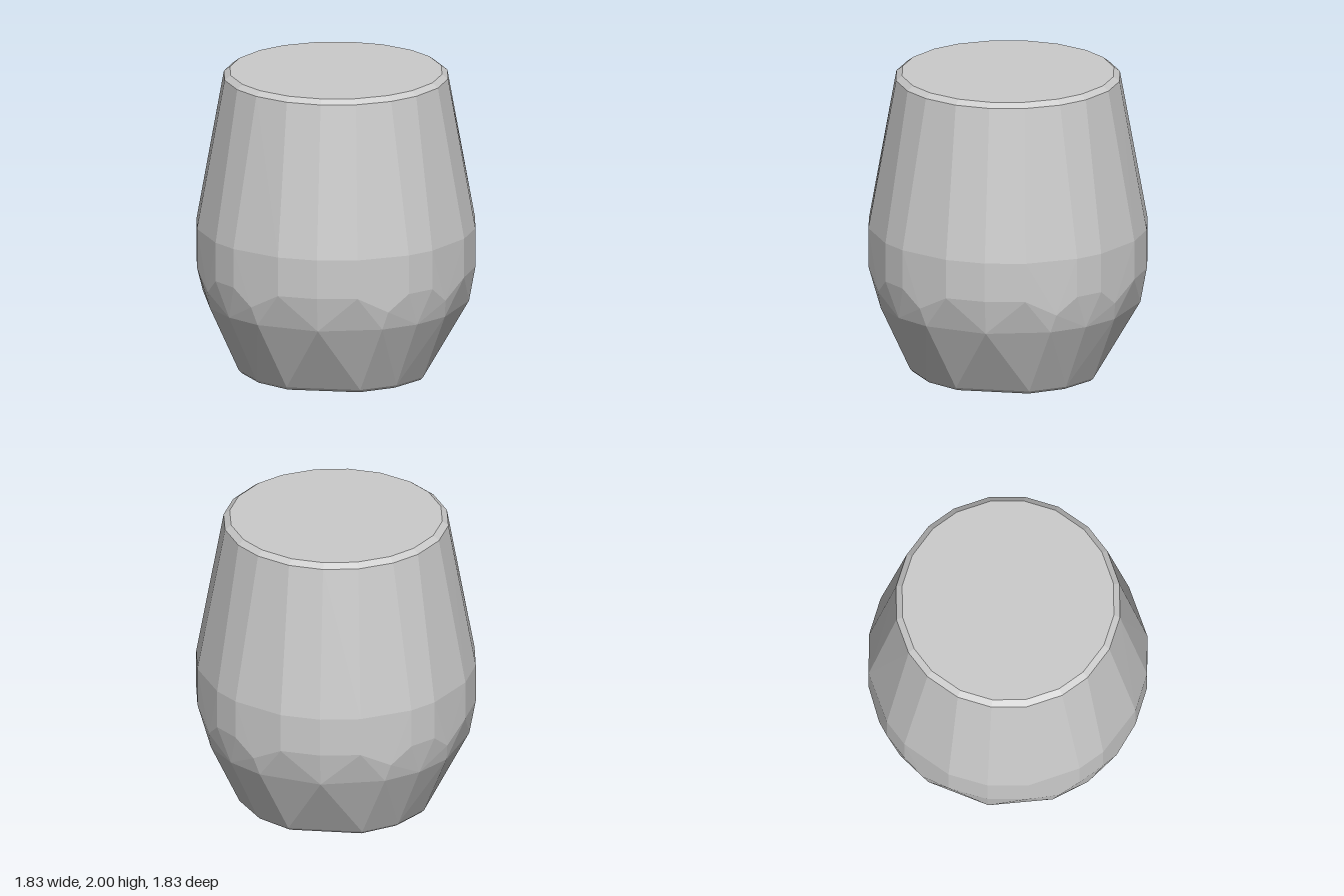
import * as THREE from 'three';
import { ConvexGeometry } from 'three/addons/geometries/ConvexGeometry.js';

// Angles (degrees) inside one quadrant, repeated four times around the body.
const SIXTEEN = [0, 18, 37, 53, 72].filter((a) => a !== 45);
const BELLY = [0, 16.6, 39, 51, 73.4];
const FOOT = [21.8, 45, 68.2];

// Rings from the rim down to the foot: height, radius, quadrant angles.
const RINGS = [
  { y: 2.0, r: 0.695, angles: SIXTEEN },
  { y: 1.97, r: 0.735, angles: SIXTEEN },
  { y: 0.97, r: 0.914, angles: BELLY },
  { y: 0.71, r: 0.914, angles: BELLY },
  { y: 0.6, r: 0.9, angles: [30, 60] },
  { y: 0.48, r: 0.872, angles: [0, 28, 45, 62] },
  { y: 0.02, r: 0.65, angles: FOOT },
  { y: 0.0, r: 0.63, angles: FOOT },
];

function ringPoints({ y, r, angles }) {
  const points = [];
  for (let quadrant = 0; quadrant < 4; quadrant++) {
    for (const angle of angles) {
      const t = THREE.MathUtils.degToRad(angle + quadrant * 90);
      points.push(new THREE.Vector3(r * Math.sin(t), y, r * Math.cos(t)));
    }
  }
  return points;
}

export function createModel() {
  const group = new THREE.Group();
  group.name = 'facetedVessel';

  // Solid body with chiselled facets, bevelled rim and foot.
  const body = new THREE.Mesh(
    new ConvexGeometry(RINGS.flatMap(ringPoints)),
    new THREE.MeshStandardMaterial({ color: 0xcccccc, flatShading: true })
  );
  body.name = 'body';
  group.add(body);

  return group;
}
